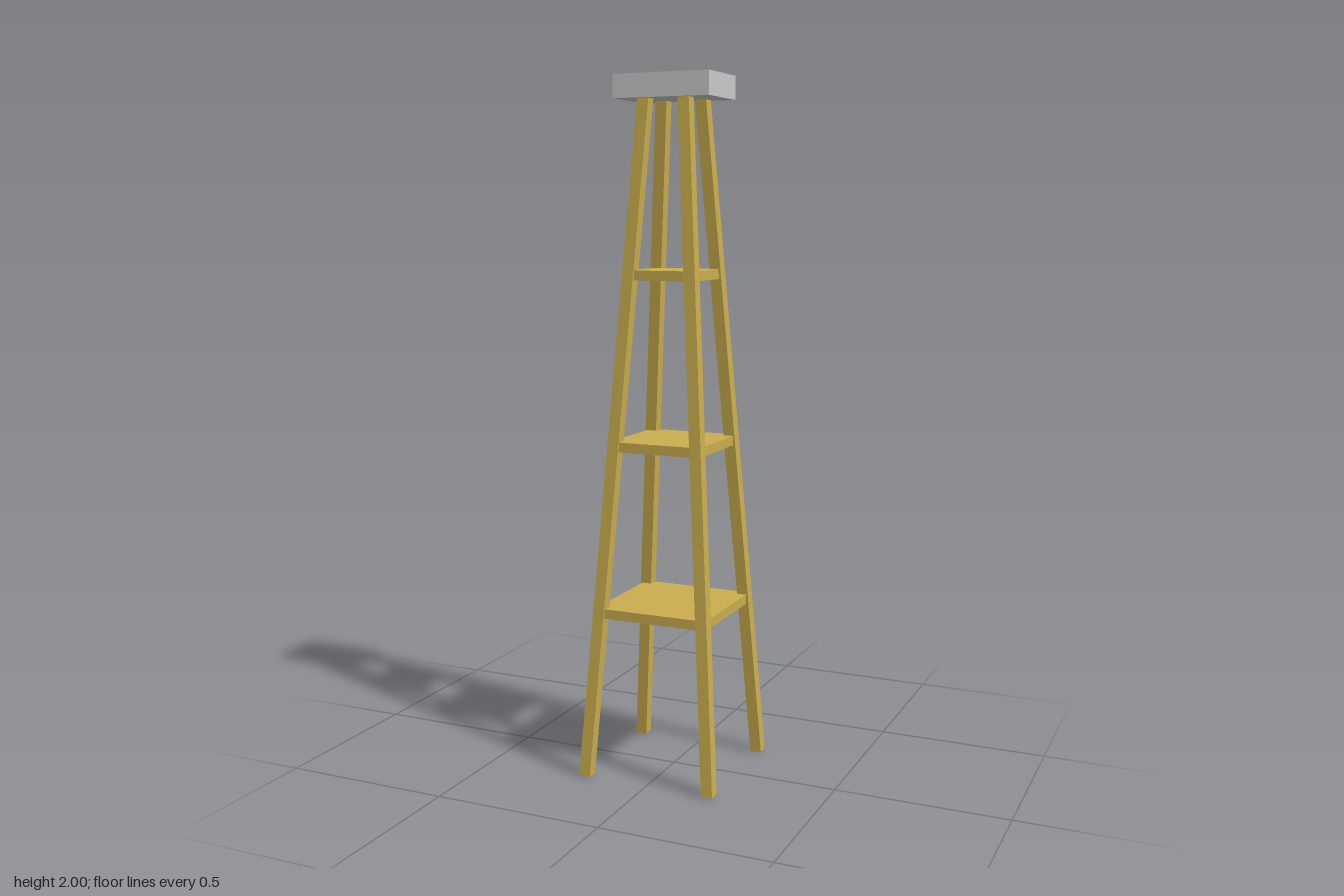
import * as THREE from 'three';

export function createModel() {
  const wood = new THREE.MeshStandardMaterial({ color: 0xcaae4e });
  wood.name = 'ochre wood';
  const grey = new THREE.MeshStandardMaterial({ color: 0xcacaca });
  grey.name = 'light grey';

  const model = new THREE.Group();
  model.name = 'tower';

  const addBox = (name, w, h, d, y, material) => {
    const mesh = new THREE.Mesh(new THREE.BoxGeometry(w, h, d), material);
    mesh.name = name;
    mesh.position.y = y;
    model.add(mesh);
    return mesh;
  };

  // Four square legs leaning inward towards the top
  const up = new THREE.Vector3(0, 1, 0);
  for (const sx of [-1, 1]) {
    for (const sz of [-1, 1]) {
      const foot = new THREE.Vector3(sx * 0.1925, 0.0024, sz * 0.1925);
      const head = new THREE.Vector3(sx * 0.0595, 1.95, sz * 0.0595);
      const axis = head.clone().sub(foot);
      const name = (sz > 0 ? 'front' : 'back') + (sx > 0 ? 'Left' : 'Right') + 'Leg';
      const leg = addBox(name, 0.034, axis.length(), 0.034, 0, wood);
      leg.position.copy(foot).add(head).multiplyScalar(0.5);
      leg.quaternion.setFromUnitVectors(up, axis.normalize());
    }
  }

  // Three square shelves, smaller towards the top
  const shelves = [['lowerShelf', 0.341, 0.485], ['middleShelf', 0.276, 0.966], ['upperShelf', 0.209, 1.449]];
  for (const [name, size, y] of shelves) addBox(name, size, 0.028, size, y, wood);

  // Block on top
  addBox('topBlock', 0.288, 0.066, 0.191, 1.967, grey).position.z = -0.001;

  return model;
}
